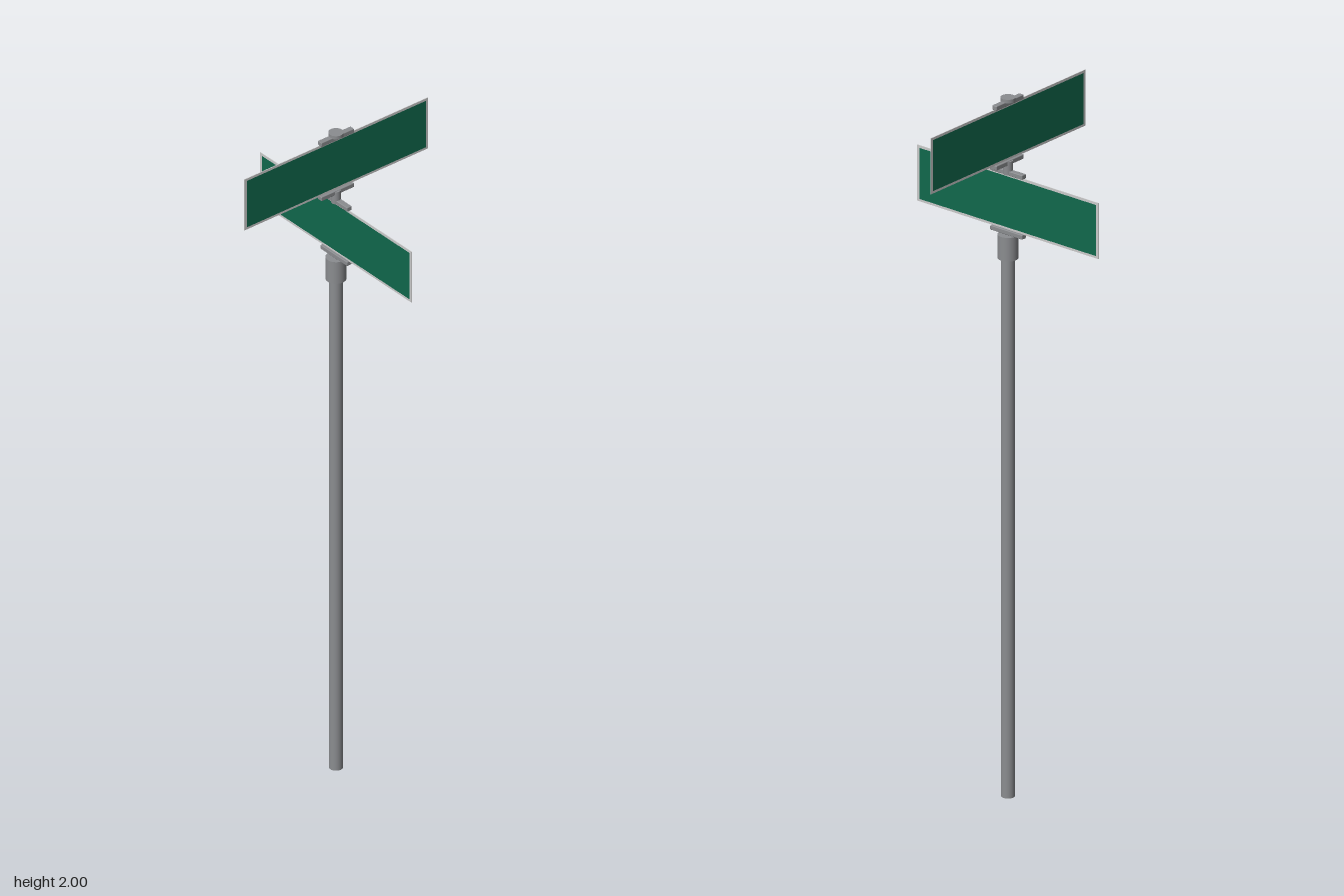
import * as THREE from 'three';
import { RoundedBoxGeometry } from 'three/addons/geometries/RoundedBoxGeometry.js';

const metal = new THREE.MeshStandardMaterial({ color: 0x8b8d90 });
const pale = new THREE.MeshStandardMaterial({ color: 0xcccccc });
const green = new THREE.MeshStandardMaterial({ color: 0x10684c });

function add(parent, name, geometry, material, y, z = 0) {
  const mesh = new THREE.Mesh(geometry, material);
  mesh.name = name;
  mesh.position.set(0, y, z);
  parent.add(mesh);
  return mesh;
}

// Upright cylinder between two heights
function rod(parent, name, radius, y0, y1) {
  return add(parent, name, new THREE.CylinderGeometry(radius, radius, y1 - y0, 32), metal, (y0 + y1) / 2);
}

// Thin plate with a pale border, a green panel on each face and a clamp bar above and below
function streetSign(name, y) {
  const sign = new THREE.Group();
  sign.name = name;
  sign.position.y = y;
  add(sign, 'borderPlate', new THREE.BoxGeometry(0.63, 0.16, 0.002), pale, 0);
  for (const side of [1, -1]) {
    const panel = add(sign, 'panel', new THREE.PlaneGeometry(0.614, 0.146), green, 0, side * 0.0014);
    if (side < 0) panel.rotation.y = Math.PI;
    add(sign, 'clampBar', new RoundedBoxGeometry(0.112, 0.013, 0.016, 2, 0.002), metal, side * 0.0855);
  }
  return sign;
}

export function createModel() {
  const model = new THREE.Group();
  model.name = 'streetSignPost';

  // Pole and the collar that caps it
  rod(model, 'pole', 0.019, 0, 1.56);
  rod(model, 'collar', 0.028, 1.54, 1.608);

  // Two crossing signs, the upper one turned a quarter
  model.add(streetSign('lowerSign', 1.70));
  const upper = streetSign('upperSign', 1.90);
  upper.rotation.y = Math.PI / 2;
  model.add(upper);

  // Joint between the signs and the cap on top
  rod(model, 'joint', 0.0135, 1.781, 1.819);
  rod(model, 'topCap', 0.0205, 1.99, 2.0);

  return model;
}
